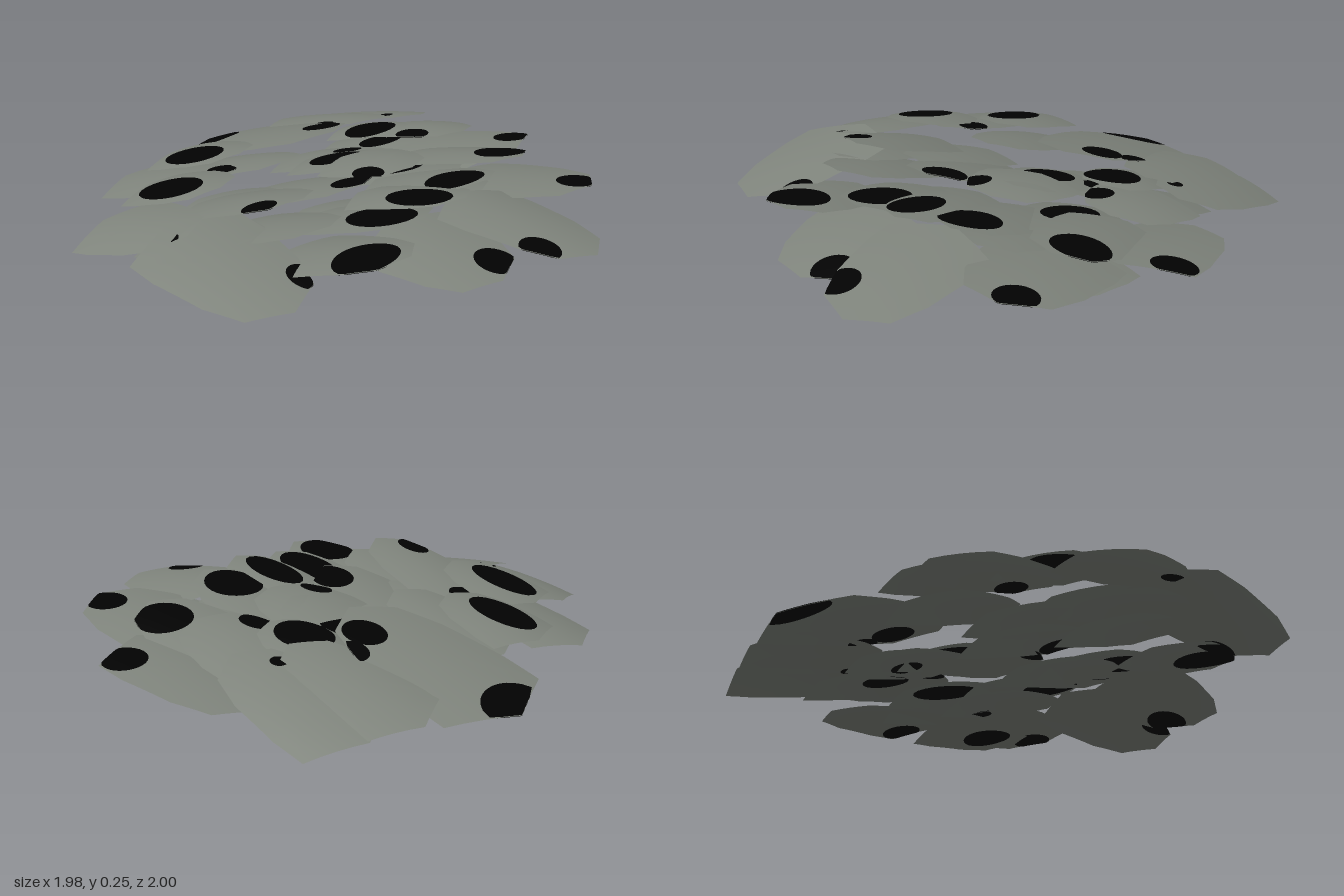
import * as THREE from 'three';

// Each scale: [x, z, halfWidth, halfLength, y, slopeX, slopeZ, turn, spots [x, z, radius, stretchZ]...]
const backScales = [
  [0.22, -0.63, 0.27, 0.37, 0.13, 0, 0.27, 0,
    [0.18, -0.95, 0.15, 0.65], [0.31, -0.41, 0.08, 1], [0.43, -0.46, 0.055, 1.1]],
  [-0.38, -0.57, 0.2, 0.29, 0.13, 0.1, 0.22, 0, [-0.29, -0.39, 0.06, 1]],
  [0.56, -0.58, 0.2, 0.29, 0.13, -0.08, 0.22, 0],
  [0.74, -0.5, 0.2, 0.3, 0.12, -0.15, 0.22, 0, [0.66, -0.34, 0.03, 1]],
  [-0.75, -0.32, 0.2, 0.23, 0.11, 0.18, 0.15, 0, [-0.8, -0.14, 0.04, 1]],
  [-0.5, -0.38, 0.19, 0.2, 0.18, 0.08, 0.22, 0, [-0.545, -0.4, 0.1, 1.4]],
  [-0.18, -0.6, 0.19, 0.2, 0.17, 0.05, 0.22, 0, [-0.23, -0.61, 0.1, 1.35]],
  [-0.1, -0.46, 0.19, 0.25, 0.14, 0, 0.27, 0],
];
const middleScales = [
  [-0.45, -0.09, 0.19, 0.27, 0.18, 0, 0.3, 0, [-0.55, 0.06, 0.06, 1.1]],
  [-0.76, 0.12, 0.24, 0.33, 0.1, 0.13, -0.15, -0.1, [-0.63, 0.35, 0.06, 1.3]],
  [-0.45, 0.05, 0.2, 0.25, 0.12, 0, 0.28, 0],
  [-0.13, -0.1, 0.21, 0.28, 0.13, 0, 0.3, 0, [-0.09, 0.1, 0.09, 0.9]],
  [0.17, 0, 0.21, 0.18, 0.175, 0, 0.12, 0, [0.035, 0.07, 0.055, 1.2]],
  [0.19, -0.17, 0.19, 0.22, 0.14, 0, 0.25, 0, [0.18, -0.22, 0.1, 1.1]],
  [0.36, -0.02, 0.2, 0.28, 0.08, 0, 0.25, 0, [0.36, -0.08, 0.1, 1.5]],
  [0.47, -0.27, 0.16, 0.16, 0.175, 0, 0.2, 0, [0.44, -0.25, 0.11, 0.95]],
  [0.62, -0.09, 0.2, 0.19, 0.18, -0.08, 0.14, 0, [0.48, -0.06, 0.06, 1.2]],
  [0.75, -0.03, 0.24, 0.31, 0.08, 0.05, 0.18, Math.PI, [0.9, 0.16, 0.085, 0.9]],
];
const frontScales = [
  [-0.46, 0.38, 0.2, 0.25, 0.115, 0.03, 0.2, 0.15, [-0.49, 0.49, 0.13, 0.85]],
  [-0.19, 0.25, 0.2, 0.26, 0.13, 0, 0.25, 0, [-0.215, 0.335, 0.105, 1.35]],
  [0.01, 0.29, 0.17, 0.25, 0.16, 0, 0.22, 0, [-0.03, 0.36, 0.085, 1.65]],
  [0.22, 0.23, 0.2, 0.27, 0.145, 0, 0.25, 0, [0.2, 0.355, 0.12, 0.9]],
  [0.57, 0.14, 0.2, 0.28, 0.13, -0.08, 0.2, 0, [0.61, 0.29, 0.11, 0.95]],
  [-0.18, 0.58, 0.25, 0.25, 0.085, 0.05, -0.14, 0, [-0.1, 0.75, 0.08, 1]],
  [0.15, 0.69, 0.22, 0.31, 0.115, -0.06, -0.12, 0, [0.015, 0.85, 0.07, 1.1]],
  [0.52, 0.43, 0.25, 0.31, 0.105, -0.03, 0.13, 0.15, [0.585, 0.66, 0.08, 1], [0.43, 0.17, 0.05, 1.2]],
];
// Lower layer, mostly hidden under the others
const underScales = [
  [0.56, -0.3, 0.2, 0.25, 0.09, 0, 0.25, 0, [0.52, -0.26, 0.09, 1]],
  [0.28, -0.32, 0.2, 0.25, 0.09, 0, 0.25, 0, [0.35, -0.3, 0.06, 1]],
  [-0.3, -0.27, 0.2, 0.25, 0.09, 0, 0.25, 0],
  [-0.62, -0.14, 0.2, 0.23, 0.085, 0.05, 0.22, 0],
  [-0.1, 0.1, 0.2, 0.25, 0.08, 0, 0.25, 0],
  [0.28, 0.18, 0.2, 0.25, 0.08, 0, 0.22, 0],
  [0.55, 0.27, 0.2, 0.24, 0.04, 0, 0.1, 0, [0.56, 0.35, 0.11, 0.8]],
];

// Outline of one scale: broad peak towards -z, narrow end towards +z
const halfOutline = [[0, -1], [1, -0.7], [1, -0.3], [0.86, 0.35], [0.62, 0.78]];
const outline = [...halfOutline, [0, 1],
  ...halfOutline.slice(1).reverse().map(([u, v]) => [-u, v])];

// Distance from an inner point to the outline along a direction
function reach(px, pz, dx, dz, w, l) {
  let best = Infinity;
  outline.forEach(([u, v], i) => {
    const [u2, v2] = outline[(i + 1) % outline.length];
    const ax = u * w - px, az = v * l - pz;
    const ex = (u2 - u) * w, ez = (v2 - v) * l;
    const det = dx * ez - dz * ex;
    if (Math.abs(det) < 1e-9) return;
    const t = (ax * ez - az * ex) / det;
    const s = (ax * dz - az * dx) / det;
    if (t > 0 && s > -1e-6 && s < 1 + 1e-6) best = Math.min(best, t);
  });
  return Number.isFinite(best) ? best : 0;
}

// A sheet of rings around a centre, its rim given per angle and its height by a rule
function sheet(px, pz, angles, rim, height) {
  const rings = 5, n = angles.length;
  const pos = [px, height(px, pz), pz], index = [];
  for (let r = 1; r <= rings; r++) {
    angles.forEach((a, i) => {
      const d = rim(a) * r / rings;
      const x = px + Math.cos(a) * d, z = pz + Math.sin(a) * d;
      pos.push(x, height(x, z), z);
      const j = (i + 1) % n, b = 1 + (r - 1) * n, c = b - n;
      if (r === 1) index.push(0, b + j, b + i);
      else index.push(c + i, c + j, b + i, c + j, b + j, b + i);
    });
  }
  const g = new THREE.BufferGeometry();
  g.setAttribute('position', new THREE.Float32BufferAttribute(pos, 3));
  g.setIndex(index);
  g.computeVertexNormals();
  return g;
}

function makeScale([x, z, w, l, y, sx, sz, turn, ...spots], scaleMat, spotMat) {
  const group = new THREE.Group();
  group.name = 'scale';
  group.position.set(x, y, z);
  group.rotation.y = turn;
  // slopes are in world axes, so turn them into the scale's own
  const slope = new THREE.Vector3(sx, 0, sz).applyAxisAngle(THREE.Object3D.DEFAULT_UP, -turn);
  const height = (a, b) => slope.x * a + slope.z * b
    - 0.022 * (a / w) ** 2 - 0.012 * (b / l) ** 2 + 0.01;

  // rim angles: outline corners with steps between them
  const angles = [];
  outline.forEach(([u, v], i) => {
    const [u2, v2] = outline[(i + 1) % outline.length];
    for (let k = 0; k < 4; k++) {
      const t = k / 4;
      angles.push(Math.atan2((v + (v2 - v) * t) * l, (u + (u2 - u) * t) * w));
    }
  });
  const body = sheet(0, 0, angles, a => reach(0, 0, Math.cos(a), Math.sin(a), w, l), height);
  const plate = new THREE.Mesh(body, scaleMat);
  plate.name = 'scalePlate';
  group.add(plate);

  // dark spots, cut off at the rim, on both faces
  const round = Array.from({ length: 28 }, (_, i) => i / 28 * Math.PI * 2);
  for (const [wx, wz, r, stretch] of spots) {
    const c = new THREE.Vector3(wx - x, 0, wz - z).applyAxisAngle(THREE.Object3D.DEFAULT_UP, -turn);
    const rim = a => {
      const oval = r / Math.hypot(Math.cos(a), Math.sin(a) / stretch);
      return Math.min(oval, reach(c.x, c.z, Math.cos(a), Math.sin(a), w, l));
    };
    for (const side of [1, -1]) {
      const g = sheet(c.x, c.z, round, rim, (a, b) => height(a, b) + side * 0.002);
      const spot = new THREE.Mesh(g, spotMat);
      spot.name = side > 0 ? 'topSpot' : 'undersideSpot';
      group.add(spot);
    }
  }
  return group;
}

export function createModel() {
  const scaleMat = new THREE.MeshStandardMaterial({ color: 0x80857d, side: THREE.DoubleSide });
  scaleMat.name = 'greyGreen';
  const spotMat = new THREE.MeshStandardMaterial({ color: 0x020202, side: THREE.DoubleSide });
  spotMat.name = 'black';

  const model = new THREE.Group();
  model.name = 'scalePatch';
  const rows = { backScales, middleScales, frontScales, underScales };
  for (const [name, list] of Object.entries(rows)) {
    const row = new THREE.Group();
    row.name = name;
    list.forEach(s => row.add(makeScale(s, scaleMat, spotMat)));
    model.add(row);
  }

  // rest the lowest rim on the ground
  const box = new THREE.Box3().setFromObject(model, true);
  model.children.forEach(row => { row.position.y = -box.min.y; });
  return model;
}
